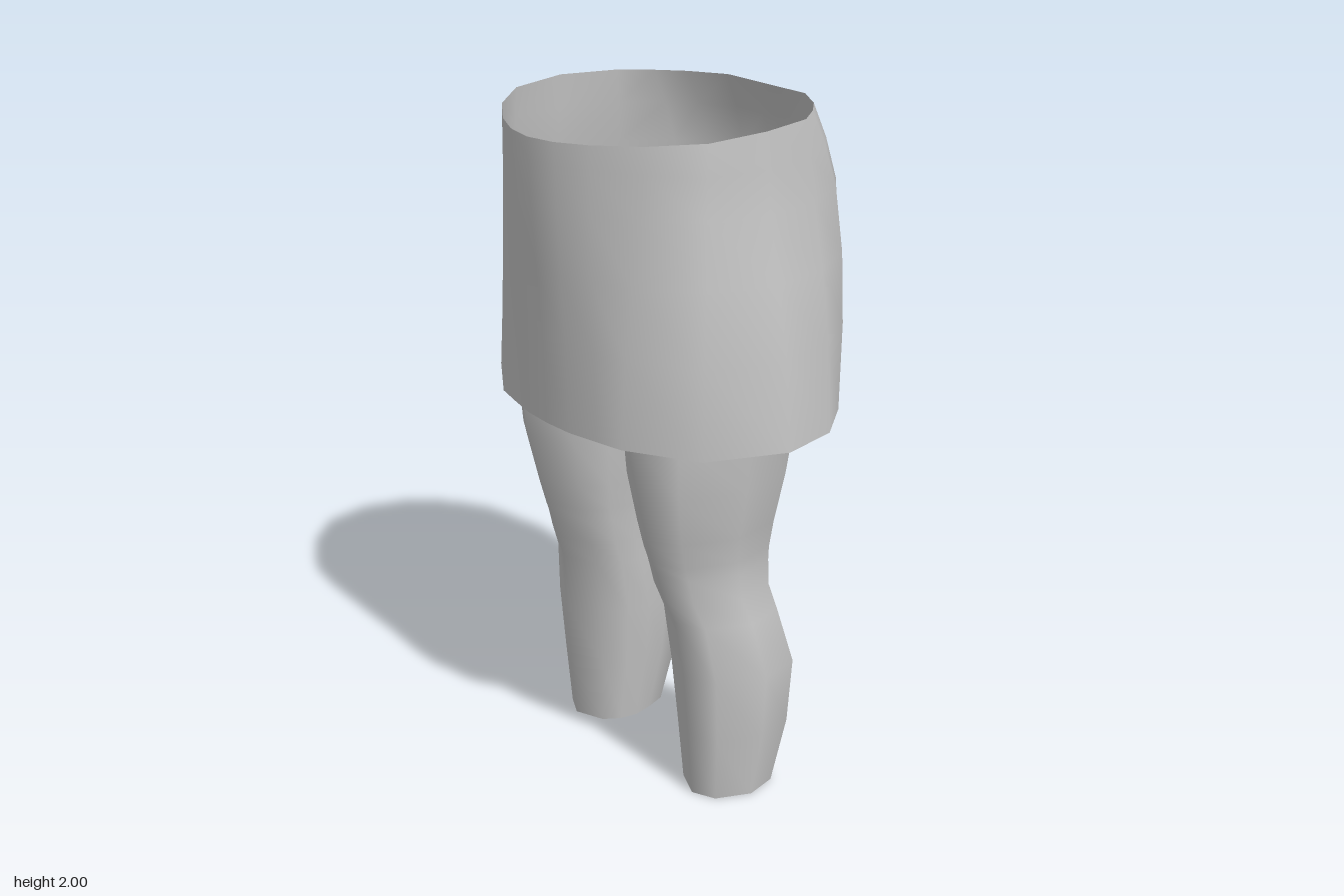
import * as THREE from 'three';

const grey = new THREE.MeshStandardMaterial({ color: 0xc4c4c4, side: THREE.DoubleSide });
grey.name = 'plain grey';

// Skin a stack of closed rings (listed top to bottom) of [x, y, z] points
function loft(rings) {
  const n = rings[0].length, index = [];
  for (let r = 0; r < rings.length - 1; r++) {
    for (let i = 0; i < n; i++) {
      const a = r * n + i, b = r * n + (i + 1) % n;
      index.push(a, b, a + n, b, b + n, a + n);
    }
  }
  const geo = new THREE.BufferGeometry();
  geo.setAttribute('position', new THREE.Float32BufferAttribute(rings.flat(2), 3));
  geo.setIndex(index);
  geo.computeVertexNormals();
  return geo;
}

function addMesh(group, name, geo) {
  const mesh = new THREE.Mesh(geo, grey);
  mesh.name = name;
  group.add(mesh);
}

// Complete a half outline (back centre to front centre) by mirroring it in x
const mirrorRing = half => [...half, ...half.slice(1, -1).reverse().map(([x, y, z]) => [-x, y, z])];

// Half outlines of the skirt as x, z
const waist = [[0, -.355], [.06, -.355], [.17, -.355], [.28, -.29], [.35, -.225], [.42, -.14],
  [.465, .03], [.44, .2], [.33, .32], [.2, .4], [.1, .44], [0, .455]];
const hem = [[0, -.43], [.06, -.43], [.17, -.41], [.29, -.37], [.41, -.3], [.53, -.16],
  [.575, .02], [.49, .25], [.29, .37], [.2, .39], [.1, .41], [0, .415]];

// Height, then blend from waist to hem for the width, back and front
const skirtLevels = [[2, 0, 0, 0], [1.9, .08, .6, .06], [1.78, .18, 1.1, .15], [1.6, .5, 1.28, .45],
  [1.4, .82, 1.2, .8], [1.15, 1, 1, 1]];

const HEM_Y = 1.15, RIDGE = .05;

// Leg cross-section in unit coordinates, and its limits by height:
// y, inner x, outer x, back z, front z
const legSection = [[-.68, -.98], [-.2, -1], [.35, -.92], [.78, -.72], [1, 0], [.65, .76],
  [.07, 1], [-.68, .72], [-.93, .35], [-1, -.05], [-.88, -.5]];
const legLevels = [[HEM_Y, .052, .465, -.21, .32], [1, .07, .447, -.18, .305], [.85, .09, .418, -.152, .27],
  [.77, .1, .406, -.14, .248], [.73, .104, .405, -.136, .233], [.65, .11, .405, -.136, .212],
  [.57, .116, .422, -.155, .18], [.4, .12, .452, -.2, .163], [.2, .142, .437, -.188, .147],
  [0, .17, .41, -.14, .13]];

function legGeometry(side) {
  const rings = legLevels.map(([y, inner, outer, back, front], level) => {
    const ring = legSection.map(([u, v]) => {
      const x = (inner + outer) / 2 + u * (outer - inner) / 2;
      const z = (back + front) / 2 + v * (front - back) / 2;
      // the top edge meets the sloping underside of the skirt
      const lift = level === 0 ? RIDGE * (1 - Math.abs(z - .02) / .42) : 0;
      return [side * x, y + lift, z];
    });
    return side < 0 ? ring.reverse() : ring;
  });
  return loft(rings);
}

export function createModel() {
  const group = new THREE.Group();
  group.name = 'skirtAndLegs';

  // Skirt, open at the waist, which dips at the front
  addMesh(group, 'skirt', loft(skirtLevels.map(([y, wide, back, front], level) =>
    mirrorRing(waist.map(([x, z], i) => {
      const [hx, hz] = hem[i];
      const dip = level === 0 ? .04 * Math.max(0, z / .455) ** 1.3 : 0;
      return [x + (hx - x) * wide, y - dip, z + (hz - z) * (i < 6 ? back : front)];
    })))));

  // Gently ridged underside that closes the hem
  const underside = loft([
    mirrorRing(hem.map(([x]) => [x * .97, HEM_Y + RIDGE, .02])),
    mirrorRing(hem.map(([x, z]) => [x, HEM_Y, z])),
  ]).toNonIndexed();
  underside.computeVertexNormals();
  addMesh(group, 'skirtUnderside', underside);

  // Legs, open at the ankles
  addMesh(group, 'leftLeg', legGeometry(1));
  addMesh(group, 'rightLeg', legGeometry(-1));
  return group;
}
